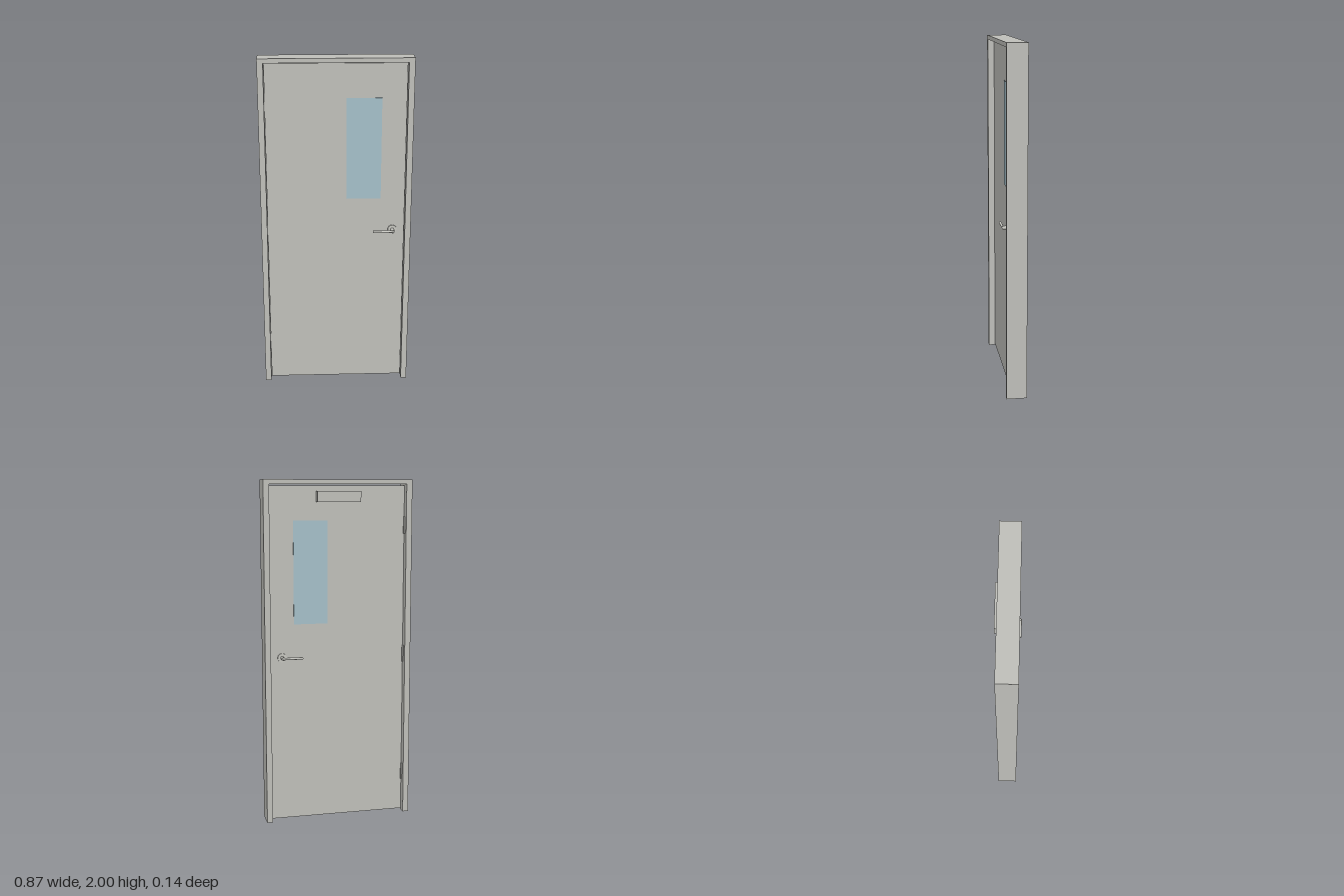
import * as THREE from 'three';

export function createModel() {
  const model = new THREE.Group();
  model.name = 'door';

  const material = (name, color) => {
    const m = new THREE.MeshStandardMaterial({ color });
    m.name = name;
    return m;
  };
  const paint = material('paintedSteel', 0xbfbfba);
  const metal = material('brushedMetal', 0xc6c6c0);
  const hingeMetal = material('hingeMetal', 0x9a9a96);
  const glass = material('glass', 0xa5c0c9);

  const add = (name, geometry, mat, x, y, z, parent = model) => {
    const mesh = new THREE.Mesh(geometry, mat);
    mesh.name = name;
    mesh.position.set(x, y, z);
    parent.add(mesh);
    return mesh;
  };

  // Frame: one outline for both jambs and the head
  const halfDepth = 0.058;
  const outline = new THREE.Shape([
    [-0.436, 0], [-0.402, 0], [-0.402, 1.975], [0.402, 1.975],
    [0.402, 0], [0.436, 0], [0.436, 2], [-0.436, 2],
  ].map(([x, y]) => new THREE.Vector2(x, y)));
  add('frame', new THREE.ExtrudeGeometry(outline, { depth: 2 * halfDepth, bevelEnabled: false }),
    paint, 0, 0, -halfDepth);

  // Door leaf with a hole for the window
  const face = 0.02;
  const rect = (Type, x0, y0, x1, y1) => new Type([
    new THREE.Vector2(x0, y0), new THREE.Vector2(x1, y0),
    new THREE.Vector2(x1, y1), new THREE.Vector2(x0, y1),
  ]);
  const leaf = rect(THREE.Shape, -0.4, 0.01, 0.4, 1.966);
  leaf.holes.push(rect(THREE.Path, 0.06, 1.175, 0.26, 1.77));
  add('doorLeaf', new THREE.ExtrudeGeometry(leaf, { depth: 2 * face, bevelEnabled: false }),
    paint, 0, 0, -face);

  // Window pane, standing slightly proud on both sides
  add('windowPane', new THREE.BoxGeometry(0.2, 0.595, 2 * face + 0.006), glass, 0.16, 1.4725, 0);

  // Door closer on the back
  add('doorCloser', new THREE.BoxGeometry(0.254, 0.062, 0.05), paint, 0, 1.904, -face - 0.025);

  // Lever handles on both sides
  for (const side of [1, -1]) {
    const handle = new THREE.Group();
    handle.name = side > 0 ? 'frontHandle' : 'backHandle';
    handle.position.set(0.331, 0.982, 0);
    model.add(handle);
    add('rose', new THREE.CylinderGeometry(0.026, 0.026, 0.008, 32), metal,
      0, 0, side * (face + 0.004), handle).rotation.x = Math.PI / 2;
    add('neck', new THREE.CylinderGeometry(0.01, 0.01, 0.048, 20), metal,
      0, 0, side * (face + 0.024), handle).rotation.x = Math.PI / 2;
    add('lever', new THREE.CylinderGeometry(0.007, 0.007, 0.118, 20), metal,
      -0.056, 0, side * 0.065, handle).rotation.z = Math.PI / 2;
  }

  // Hinges on the back, along the right jamb
  for (const y of [0.25, 0.98, 1.74]) {
    add('hingeKnuckle', new THREE.CylinderGeometry(0.006, 0.006, 0.1, 16), hingeMetal, -0.4, y, -face - 0.006);
    add('hingeLeaf', new THREE.BoxGeometry(0.003, 0.1, 0.036), hingeMetal, -0.401, y, -0.004);
  }

  return model;
}
